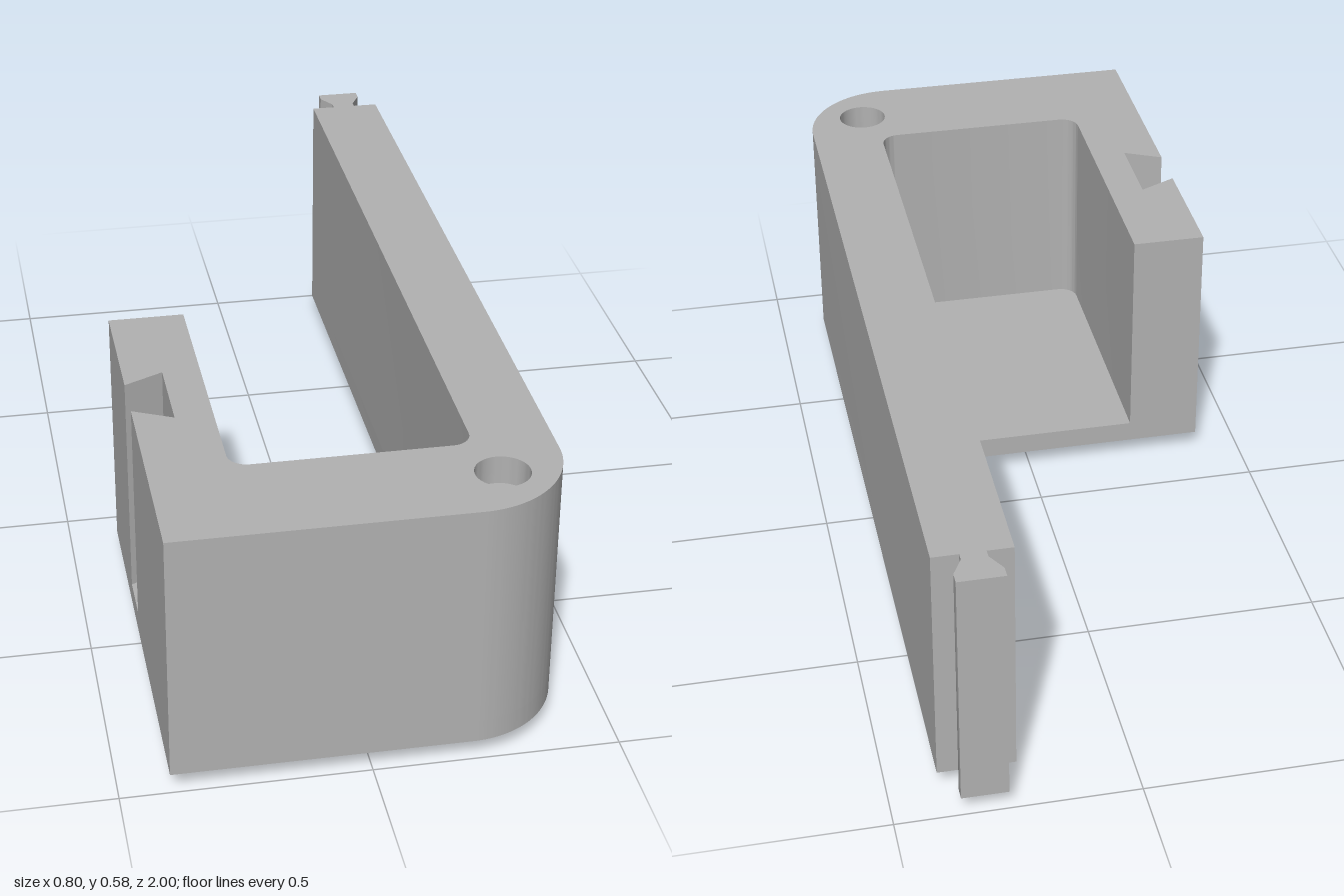
import * as THREE from 'three';
import { toCreasedNormals } from 'three/addons/utils/BufferGeometryUtils.js';

const BASE = 0.043, FLOOR = 0.09, TOP = 0.576;
const PEG_X = 0.27, PEG_Z = 0.867, HOLE_R = 0.055, HOLE_DEPTH = 0.06;

export function createModel() {
  const group = new THREE.Group();
  const grey = new THREE.MeshStandardMaterial({ color: 0xb2b2b2 });
  grey.name = 'grey plastic';

  const add = (name, geometry) => {
    const mesh = new THREE.Mesh(toCreasedNormals(geometry, 0.5), grey);
    mesh.name = name;
    group.add(mesh);
    return mesh;
  };

  // Plan shapes use (x, -z) and are extruded upwards from y0 to y1
  const extrude = (name, shape, y0, y1) => {
    const g = new THREE.ExtrudeGeometry(shape, { depth: y1 - y0, bevelEnabled: false, curveSegments: 20 });
    add(name, g.rotateX(-Math.PI / 2).translate(0, y0, 0));
  };
  const lines = (shape, points) => points.forEach(([x, z]) => shape.lineTo(x, -z));

  // Outer side shared by both layers: front, rounded corner, long arm, dovetail tongue
  const outerOutline = () => {
    const s = new THREE.Shape();
    s.moveTo(-0.4, -1);
    s.lineTo(0.2, -1);
    s.absarc(0.2, -0.8, 0.2, -Math.PI / 2, 0, false);
    lines(s, [
      [0.4, -0.918], [0.345, -0.918], [0.345, -0.935], [0.366, -0.975], [0.366, -1],
      [0.27, -1], [0.27, -0.975], [0.293, -0.935], [0.293, -0.918], [0.24, -0.918],
    ]);
    return s;
  };

  // Floor plate with a small fillet where it meets the arm
  const floor = outerOutline();
  floor.lineTo(0.24, -0.097);
  floor.absarc(0.21, -0.097, 0.03, 0, -Math.PI / 2, true);
  floor.lineTo(-0.4, -0.127);
  extrude('floorPlate', floor, BASE, FLOOR);

  // Walls around the pocket, with dovetail slot and peg socket
  const walls = outerOutline();
  walls.lineTo(0.24, -0.717);
  walls.absarc(0.2, -0.717, 0.04, 0, -Math.PI / 2, true);
  walls.absarc(-0.2, -0.717, 0.04, -Math.PI / 2, -Math.PI, true);
  lines(walls, [
    [-0.24, 0.127], [-0.4, 0.127],
    [-0.4, 0.41], [-0.318, 0.37], [-0.318, 0.556], [-0.4, 0.516],
  ]);
  const hole = new THREE.Path();
  hole.absarc(PEG_X, -PEG_Z, HOLE_R, 0, Math.PI * 2, true);
  walls.holes.push(hole);
  extrude('walls', walls, FLOOR, TOP);

  // Bottom of the blind socket
  const plugHeight = TOP - HOLE_DEPTH - FLOOR;
  add('socketBottom', new THREE.CylinderGeometry(HOLE_R, HOLE_R, plugHeight, 40))
    .position.set(PEG_X, FLOOR + plugHeight / 2, PEG_Z);

  // Chamfered locating peg underneath
  const pegProfile = [[0, 0], [0.034, 0], [0.039, 0.006], [0.039, BASE + 0.005]]
    .map(([r, y]) => new THREE.Vector2(r, y));
  add('locatingPeg', new THREE.LatheGeometry(pegProfile, 32)).position.set(PEG_X, 0, PEG_Z);

  return group;
}
